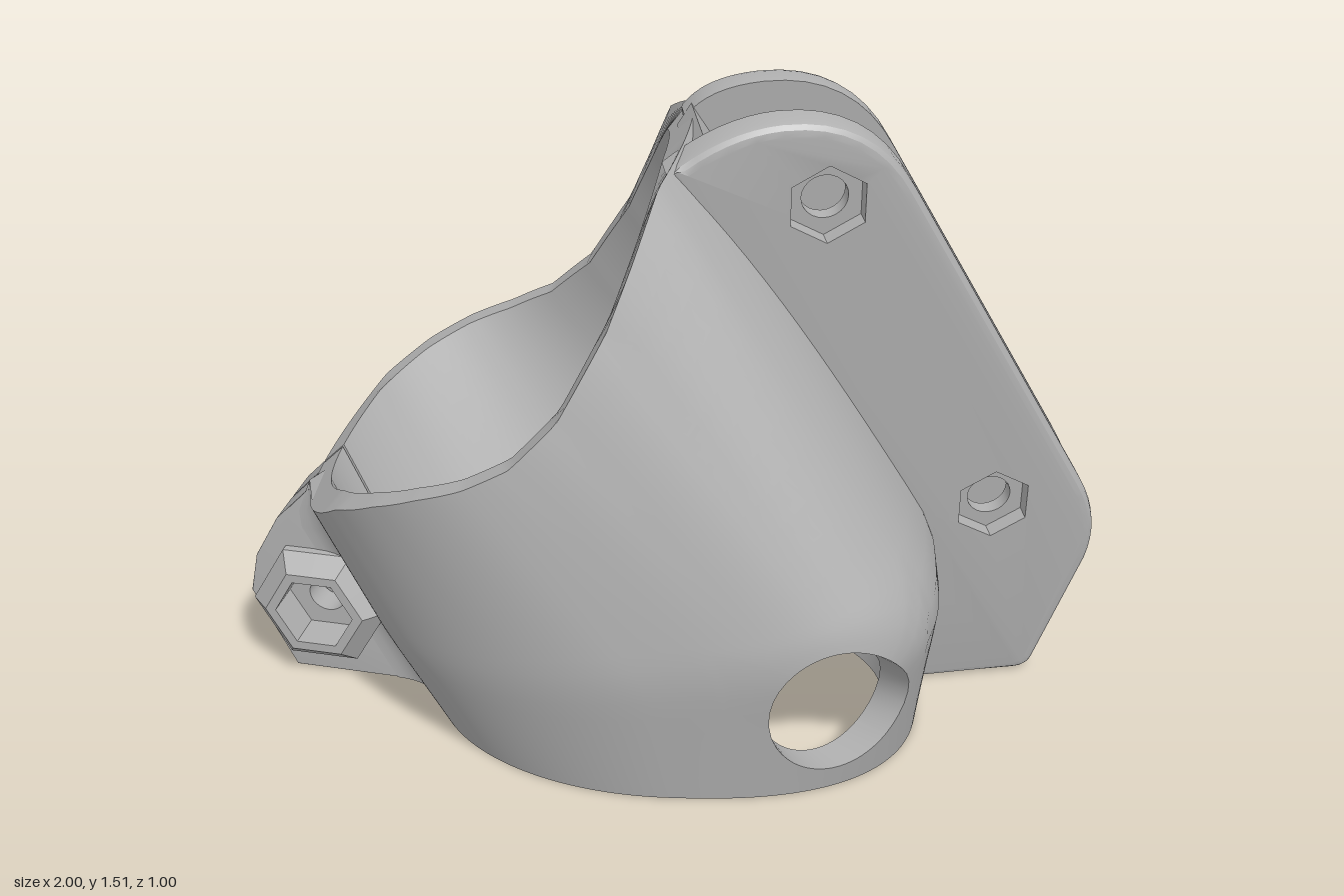
import * as THREE from 'three';
import { toCreasedNormals } from 'three/addons/utils/BufferGeometryUtils.js';

const RAD = Math.PI / 180, lerp = THREE.MathUtils.lerp;
const grey = new THREE.MeshStandardMaterial({ color: 0xb0b0b0, side: THREE.DoubleSide });
grey.name = 'grey plastic';

// Add a grid of quads f(u, v), u and v from 0 to 1, to a list of positions
function grid(out, f, nu, nv) {
  for (let i = 0; i < nu; i++) for (let j = 0; j < nv; j++) {
    const a = f(i / nu, j / nv), b = f((i + 1) / nu, j / nv);
    const c = f((i + 1) / nu, (j + 1) / nv), d = f(i / nu, (j + 1) / nv);
    out.push(...a, ...b, ...c, ...a, ...c, ...d);
  }
}

function makeMesh(name, positions, matrix) {
  const g = new THREE.BufferGeometry();
  g.setAttribute('position', new THREE.Float32BufferAttribute(positions, 3));
  if (matrix) g.applyMatrix4(matrix);
  g.computeVertexNormals();
  const mesh = new THREE.Mesh(toCreasedNormals(g, 0.5), grey);
  mesh.name = name;
  return mesh;
}

// Matrix from (x, y, depth) to a plane z = a + bx + cy, depth along its normal
function planeMatrix(a, b, c) {
  const n = new THREE.Vector3(-b, -c, 1).normalize();
  return new THREE.Matrix4().set(1, 0, n.x, 0, 0, 1, n.y, 0, b, c, n.z, a, 0, 0, 0, 1);
}

// ---- hollow body: bottom ring, shoulder ring and scooped top rim ----
const CUT = [[-0.82, 0.52], [-0.7, 0.64], [-0.6, 0.7], [-0.5, 0.745], [-0.4, 0.78], [-0.3, 0.83],
  [-0.2, 0.93], [-0.1, 1.11], [-0.05, 1.24], [0, 1.38], [0.06, 1.45]];
function cutHeight(x) {
  let i = 0;
  while (i < CUT.length - 2 && x > CUT[i + 1][0]) i++;
  const [p, q] = [CUT[i], CUT[i + 1]];
  return lerp(p[1], q[1], Math.min(1, (x - p[0]) / (q[0] - p[0])));
}
function ring(deg, t, cx, a, cz, zf, zb, pf, pb) {
  const c = Math.cos(deg * RAD), s = Math.sin(deg * RAD);
  const p = c < 0 ? 2 : s > 0 ? pf : pb;
  const r = Math.pow(Math.abs(c) ** p + Math.abs(s) ** p, -1 / p);
  return [cx + (a - t) * r * c, cz + ((s > 0 ? zf : zb) - t) * r * s];
}
function wall(deg, s, t) {
  const [x0, z0] = ring(deg, t * 1.2, 0.03, 0.57, 0.02, 0.43, 0.42, 2.5, 2);
  const [x1, z1] = ring(deg, t, -0.015, 0.655, 0.03, 0.47, 0.47, 3.6, 2);
  const [x2, z2] = ring(deg, t * 0.8, -0.38, 0.44, -0.02, 0.48, 0.48, 2.25, 1.85);
  const y1 = 0.33 + 0.09 * Math.cos(deg * RAD), y2 = cutHeight(x2);
  const k = 0.35, h = 0.07, e = s - k;
  const up = e < -h ? 0 : e > h ? e : (e + h) ** 2 / (4 * h);
  const a = (s - up) / k, b = up / (1 - k);
  return [x0 + (x1 - x0) * a + (x2 - x1) * b, y1 * a + (y2 - y1) * b, z0 + (z1 - z0) * a + (z2 - z1) * b];
}

// Wall parameters (angle, height) whose outer point lies at a given x, y
function locate(x, y) {
  let d = 50, s = 0.2;
  for (let i = 0; i < 25; i++) {
    const p = wall(d, s, 0), pd = wall(d + 0.05, s, 0), ps = wall(d, s + 0.001, 0);
    const a = (pd[0] - p[0]) / 0.05, b = (ps[0] - p[0]) / 0.001;
    const c = (pd[1] - p[1]) / 0.05, e = (ps[1] - p[1]) / 0.001;
    const det = a * e - b * c, ex = x - p[0], ey = y - p[1];
    d = THREE.MathUtils.clamp(d + 0.7 * (ex * e - ey * b) / det, 32, 74);
    s = THREE.MathUtils.clamp(s + 0.7 * (ey * a - ex * c) / det, 0.01, 0.44);
  }
  return [d, s];
}

function buildBody() {
  const out = [], T = 0.065;
  // border of the patch around the round port, and the port's own edge
  const border = [];
  for (let i = 0; i < 23; i++) border.push([30 + 2 * i, 0]);
  for (let i = 0; i < 9; i++) border.push([76, 0.05 * i]);
  for (let i = 0; i < 23; i++) border.push([76 - 2 * i, 0.45]);
  for (let i = 0; i < 9; i++) border.push([30, 0.45 - 0.05 * i]);
  const port = border.map(([d, s]) => {
    const a = Math.atan2((s - 0.22) / 0.225, -(d - 53) / 23);
    return locate(0.405 + 0.155 * Math.cos(a), 0.232 + 0.172 * Math.sin(a));
  });
  const N = border.length;
  for (const t of [0, T]) {
    grid(out, (u, v) => wall(lerp(76, 189.5, u), v, t), 57, 20);
    grid(out, (u, v) => wall(lerp(190.5, 390, u), v, t), 100, 20);
    grid(out, (u, v) => wall(lerp(30, 76, u), lerp(0.45, 1, v), t), 23, 11);
    grid(out, (u, v) => {
      const i = Math.round(u * N) % N;
      return wall(lerp(border[i][0], port[i][0], v), lerp(border[i][1], port[i][1], v), t);
    }, N, 5);
  }
  // port tunnel, then rims at both ends
  grid(out, (u, v) => wall(...port[Math.round(u * N) % N], v * T), N, 1);
  for (const s of [0, 1]) grid(out, (u, v) => wall(lerp(190.5, 549.5, u), s, v * T), 180, 1);
  // walls of the slit
  for (const d of [189.5, 190.5]) grid(out, (u, v) => wall(d, u, v * T), 20, 1);
  return makeMesh('body', out);
}

// ---- flat plates with a rounded outer edge and stepped holes ----
const hexRadius = (r, a) => r * Math.cos(30 * RAD) / Math.cos((a % (60 * RAD)) - 30 * RAD);
function holePoint(h, r, hex, u) {
  const a = u * 2 * Math.PI;
  const q = hex ? hexRadius(r, a) : r, w = a + (h.turn || 0);
  return [h.x + q * Math.cos(w), h.y + q * Math.sin(w)];
}
// Outline runs clockwise; outer face at depth d0, inner face at d1
function plate(name, outline, d0, d1, bevel, holes, matrix) {
  const out = [], n = outline.length, dir = Math.sign(d1 - d0);
  const inset = (i, b) => {
    const p = outline[(i + n - 1) % n], q = outline[(i + 1) % n];
    const tx = q.x - p.x, ty = q.y - p.y, l = Math.hypot(tx, ty);
    return [outline[i].x + b * ty / l, outline[i].y - b * tx / l];
  };
  const steps = [0, 30, 60, 90].map(a => [bevel * (1 - Math.sin(a * RAD)), d0 + dir * bevel * (1 - Math.cos(a * RAD))]);
  steps.push([0, d1]);
  grid(out, (u, v) => {
    const [b, d] = steps[Math.round(v * 4)];
    return [...inset(Math.round(u * n) % n, b), d];
  }, n, 4);
  for (const outer of [true, false]) {
    const shape = new THREE.Shape(outline.map((p, i) => new THREE.Vector2(...inset(i, outer ? bevel : 0))));
    for (const h of holes) {
      const pts = [];
      for (let i = 0; i < 24; i++) pts.push(new THREE.Vector2(...holePoint(h, outer ? h.r[0] : h.r[2], outer && h.hex, i / 24)));
      shape.holes.push(new THREE.Path(pts));
    }
    const pos = new THREE.ShapeGeometry(shape).toNonIndexed().attributes.position;
    for (let i = 0; i < pos.count; i++) out.push(pos.getX(i), pos.getY(i), outer ? d0 : d1);
  }
  for (const h of holes) {
    const mid = d0 + dir * h.depth;
    const rings = [[h.r[0], d0, h.hex], [h.r[1], mid, h.hex], [h.r[2], mid, false], [h.r[2], d1, false]];
    grid(out, (u, v) => {
      const [r, d, hex] = rings[Math.round(v * 3)];
      return [...holePoint(h, r, hex, u), d];
    }, 24, 3);
  }
  return makeMesh(name, out, matrix);
}
const points = list => list.map(p => new THREE.Vector2(...p));

function finOutline(start, inner) {
  const p = new THREE.Path();
  p.moveTo(...start);
  p.quadraticCurveTo(0.13, 1.48, 0.25, 1.488);
  p.quadraticCurveTo(0.44, 1.5, 0.535, 1.32);
  p.lineTo(0.965, 0.54);
  p.quadraticCurveTo(1.025, 0.43, 0.995, 0.32);
  p.lineTo(0.895, 0.035);
  p.quadraticCurveTo(0.885, 0, 0.845, 0);
  inner.forEach(q => p.lineTo(...q));
  return p.getPoints(8);
}

export function createModel() {
  const model = new THREE.Group();
  model.name = 'clampBracket';
  model.add(buildBody());

  // pair of leaning fins with a web between them
  const finPlane = planeMatrix(0.077, -0.2, 0.1);
  const bolts = [[0.348, 1.303], [0.757, 0.505]];
  const nutHoles = bolts.map(([x, y]) => ({ x, y, r: [0.09, 0.09, 0.05], depth: 0.04, hex: true, turn: 30 * RAD }));
  const sunkHoles = bolts.map(([x, y]) => ({ x, y, r: [0.085, 0.05, 0.05], depth: 0.03 }));
  const frontFin = finOutline([0.015, 1.385], [[0.57, 0], [0.6, 0.3], [0.58, 0.48]]);
  const backFin = finOutline([0.085, 1.415], [[0.46, 0], [0.51, 0.35], [0.1, 1.3]]);
  model.add(plate('frontFin', frontFin, 0, -0.075, 0.025, nutHoles, finPlane));
  model.add(plate('backFin', backFin, -0.295, -0.22, 0.025, sunkHoles, finPlane));
  const web = points([[0.07, 1.39], [0.1, 1.44], [0.67, 0.49], [0.69, 0.31], [0.6, 0.31], [0.6, 0.42]]);
  model.add(plate('finWeb', web, -0.06, -0.235, 0, [], finPlane));

  // split clamp ear: two plates and a hexagonal nut collar
  const earPlane = planeMatrix(0.0166, 0.17, 0);
  const ear = points([[-0.49, 0], [-0.885, 0], [-0.985, 0.2], [-0.965, 0.3], [-0.905, 0.41], [-0.8, 0.52]]);
  const bolt = { x: -0.805, y: 0.195 };
  model.add(plate('frontEar', ear, 0.105, 0.004, 0.004, [{ ...bolt, r: [0.095, 0.095, 0.045], depth: 0.03, hex: true }], earPlane));
  model.add(plate('backEar', ear, -0.11, -0.004, 0.004, [{ ...bolt, r: [0.09, 0.045, 0.045], depth: 0.045 }], earPlane));

  const collar = [], rings = [[0.165, 0.1], [0.165, 0.125], [0.12, 0.17], [0.095, 0.17], [0.095, 0.09]];
  grid(collar, (u, v) => {
    const [r, d] = rings[Math.round(v * 4)];
    return [...holePoint(bolt, r, true, u), d];
  }, 24, 4);
  model.add(makeMesh('nutCollar', collar, earPlane));

  // concave blends from each ear face onto the body wall
  for (const side of [1, -1]) {
    const out = [];
    const at = (u, s) => {
      const root = wall(190, s, 0), reach = 0.1 * Math.min(1, (1 - s) / 0.25);
      const onEar = x => new THREE.Vector3(x, root[1], side * 0.106).applyMatrix4(earPlane);
      const end = new THREE.Vector3(...wall(190 - side * 25, s, 0.006));
      return new THREE.QuadraticBezierCurve3(onEar(root[0] - reach), onEar(root[0]), end).getPoint(u).toArray();
    };
    grid(out, (u, v) => at(u, v), 8, 10);
    for (const s of [0, 1]) {
      const inside = wall(190 - side * 8, s, 0.03);
      grid(out, (u, v) => at(u, s).map((c, i) => lerp(c, inside[i], v)), 8, 1);
    }
    model.add(makeMesh(side > 0 ? 'frontEarBlend' : 'backEarBlend', out));
  }
  return model;
}
